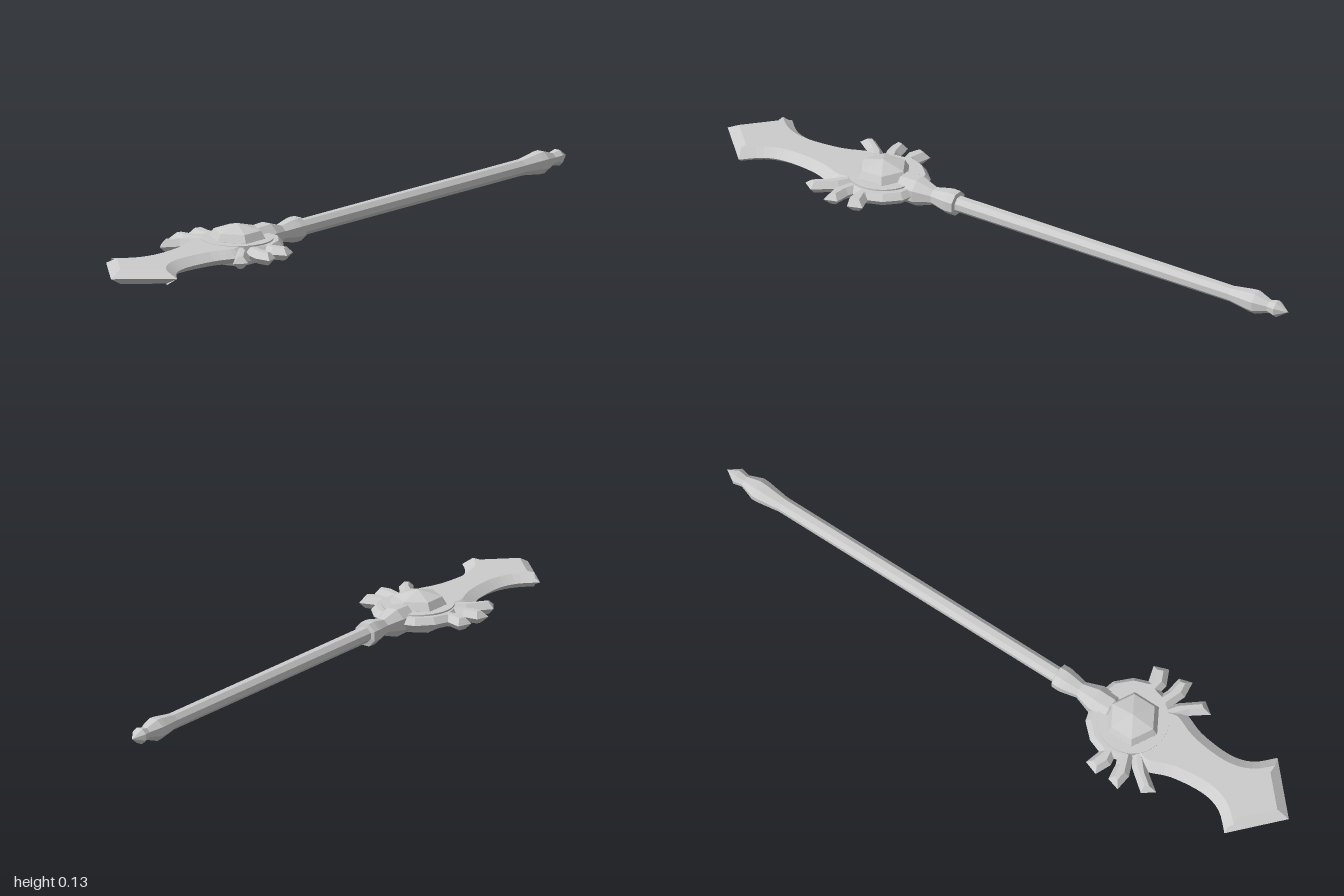
import * as THREE from 'three';

const material = new THREE.MeshStandardMaterial({ color: 0xcccccc, flatShading: true });
const MID = 0.067; // height of the weapon's middle plane

function part(name, geometry) {
  const mesh = new THREE.Mesh(geometry, material);
  mesh.name = name;
  return mesh;
}

// Outline moved inward by d with mitred corners (counter-clockwise points)
function inset(points, d) {
  const n = points.length;
  return points.map((p, i) => {
    const a = p.clone().sub(points[(i + n - 1) % n]).normalize();
    const b = points[(i + 1) % n].clone().sub(p).normalize();
    const na = new THREE.Vector2(-a.y, a.x), nb = new THREE.Vector2(-b.y, b.x);
    const k = d / Math.max(0.4, 1 + na.dot(nb));
    return p.clone().add(na.add(nb).multiplyScalar(k));
  });
}

// Flat plate in the xz plane, bevelled to a sharp edge all round
function bevelledPlate(outline, bevel, halfHeight) {
  const outer = outline.map(([x, z]) => new THREE.Vector2(x, z));
  if (THREE.ShapeUtils.isClockWise(outer)) outer.reverse();
  const inner = inset(outer, bevel), n = outer.length, pos = [];
  const caps = THREE.ShapeUtils.triangulateShape(inner, []);
  for (const side of [1, -1]) {
    const O = (i) => [outer[i].x, 0, outer[i].y];
    const I = (i) => [inner[i].x, side * halfHeight, inner[i].y];
    const tri = (a, b, c) => pos.push(...a, ...(side > 0 ? b : c), ...(side > 0 ? c : b));
    for (const [a, b, c] of caps) tri(I(a), I(c), I(b));
    for (let i = 0; i < n; i++) {
      const j = (i + 1) % n;
      tri(O(i), I(i), O(j));
      tri(O(j), I(i), I(j));
    }
  }
  const g = new THREE.BufferGeometry();
  g.setAttribute('position', new THREE.Float32BufferAttribute(pos, 3));
  g.computeVertexNormals();
  return g;
}

function lathe(profile, sides, phase = 0) {
  return new THREE.LatheGeometry(profile.map(([r, y]) => new THREE.Vector2(r, y)), sides, phase);
}

export function createModel() {
  const model = new THREE.Group();
  model.name = 'ornateSpear';
  const body = new THREE.Group();
  body.name = 'spearBody';
  body.position.y = MID;
  model.add(body);

  // Eight-sided shaft with pommel, collar and socket, turned along z
  const shaft = [
    [0, -1], [0.026, -0.962], [0.02, -0.935], [0.036, -0.89], [0.035, -0.87], [0.025, -0.8],
    [0.025, 0.175], [0.038, 0.178], [0.039, 0.2], [0.037, 0.215], [0.027, 0.26],
    [0.046, 0.315], [0.044, 0.37], [0, 0.42],
  ];
  body.add(part('shaft', lathe(shaft, 8, Math.PI / 8).rotateX(Math.PI / 2)));

  // Round mount with a six-sided gem on both faces
  const disc = part('mountDisc', new THREE.CylinderGeometry(0.108, 0.108, 0.047, 40));
  disc.position.z = 0.445;
  const gem = part('gem', lathe([
    [0, -0.067], [0.072, -0.047], [0.086, -0.024], [0.086, 0.024], [0.072, 0.047], [0, 0.067],
  ], 6));
  gem.position.z = 0.445;
  body.add(disc, gem);

  // Blade: concave sides flaring out to a wide point
  const edge = new THREE.SplineCurve([
    [0.09, 0.48], [0.112, 0.55], [0.083, 0.635], [0.073, 0.74], [0.092, 0.81], [0.143, 0.865],
  ].map(([x, z]) => new THREE.Vector2(x, z))).getPoints(20).map((p) => [p.x, p.y]);
  const otherEdge = edge.map(([x, z]) => [-x, z]).reverse();
  body.add(part('blade', bevelledPlate([...edge, [0, 1], ...otherEdge], 0.03, 0.022)));

  // Wings: a curved base and three flared feathers on each side
  const pieces = {
    wingBase: [[0.02, 0.31], [0.075, 0.325], [0.118, 0.37], [0.138, 0.425], [0.12, 0.49], [0.08, 0.51], [0.03, 0.42]],
    backFeather: [[0.09, 0.395], [0.13, 0.413], [0.182, 0.398], [0.198, 0.443], [0.15, 0.465], [0.09, 0.455]],
    middleFeather: [[0.08, 0.45], [0.14, 0.476], [0.19, 0.483], [0.202, 0.524], [0.15, 0.53], [0.085, 0.505]],
    frontFeather: [[0.07, 0.485], [0.122, 0.522], [0.174, 0.588], [0.147, 0.625], [0.11, 0.575], [0.06, 0.53]],
  };
  for (const [sideName, s] of [['left', 1], ['right', -1]]) {
    const wing = new THREE.Group();
    wing.name = sideName + 'Wing';
    for (const [name, points] of Object.entries(pieces)) {
      wing.add(part(name, bevelledPlate(points.map(([x, z]) => [s * x, z]), 0.015, 0.019)));
    }
    body.add(wing);
  }
  return model;
}
